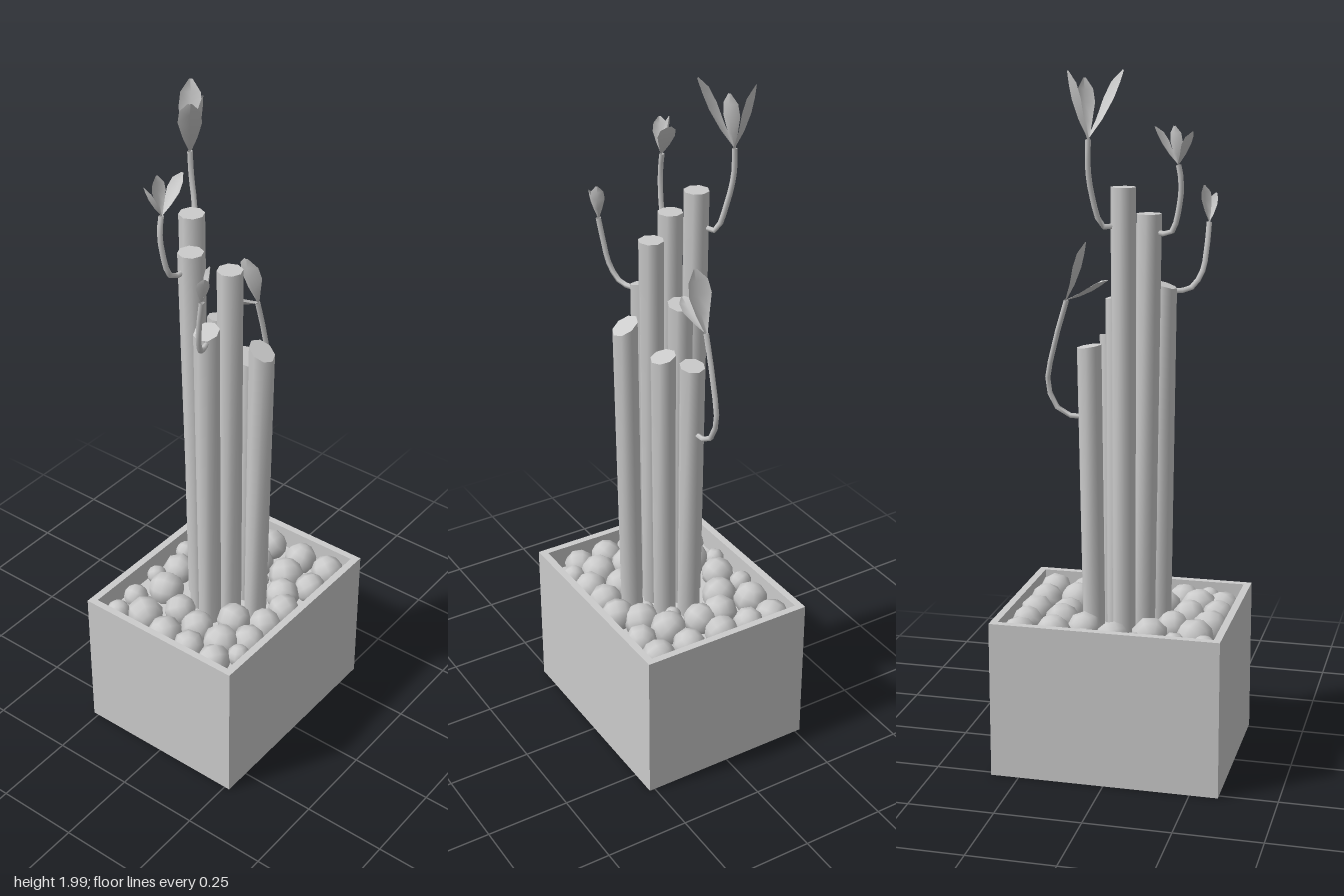
import * as THREE from 'three';

const grey = new THREE.MeshStandardMaterial({ color: 0xcccccc });
const thin = new THREE.MeshStandardMaterial({ color: 0xcccccc, side: THREE.DoubleSide });
const V = (a) => new THREE.Vector3(...a);

function add(parent, name, geometry, material = grey) {
  const mesh = new THREE.Mesh(geometry, material);
  mesh.name = name;
  parent.add(mesh);
  return mesh;
}

// Open square pot: walls extruded from a holed rectangle, plus a floor
function makePlanter() {
  const g = new THREE.Group();
  g.name = 'planter';
  const rect = (T, w, d) => new T([[-w, -d], [w, -d], [w, d], [-w, d]].map(([x, y]) => new THREE.Vector2(x, y)));
  const ring = rect(THREE.Shape, 0.332, 0.267);
  ring.holes.push(rect(THREE.Path, 0.311, 0.245));
  const walls = new THREE.ExtrudeGeometry(ring, { depth: 0.44, bevelEnabled: false });
  add(g, 'planterWalls', walls.rotateX(-Math.PI / 2).translate(0, 0.02, 0));
  add(g, 'planterFloor', new THREE.BoxGeometry(0.664, 0.02, 0.534).translate(0, 0.01, 0));
  add(g, 'soil', new THREE.PlaneGeometry(0.622, 0.49).rotateX(-Math.PI / 2).translate(0, 0.39, 0));
  return g;
}

// Pebbles: x, z, radius in hundredths
const PEBBLES = [
  [-27.4, -19.8, 3.75], [-18.8, -20, 3.75], [-7.4, -21.2, 3], [-0.6, -17.9, 5], [7.2, -21.2, 3.4],
  [16.5, -18.6, 5.2], [26.2, -19.7, 5], [-23.5, -12.5, 5.5], [-10.8, -14.6, 5.4], [9, -12.3, 5.2],
  [16.9, -7.5, 5.2], [26.2, -11.4, 4.6], [-26, -2.7, 5.2], [-15.6, -5.4, 4.8], [26, -2.1, 5],
  [17, -0.5, 5], [-26.5, 6.6, 4.8], [-18.7, 3.6, 5], [10.8, 5.2, 2.5], [26.2, 9.1, 5],
  [16.7, 10.4, 5.4], [-26.5, 16, 4.8], [-19.7, 13.2, 5.5], [-9.7, 10.4, 5.2], [4, 10, 2.1],
  [8.8, 14.8, 5.2], [-21.3, 21, 3.4], [-14, 19.1, 5], [-5.6, 18.8, 5], [3.1, 19.5, 4.9],
  [16.7, 19.5, 4.8], [26.2, 19.3, 5],
];

function makePebbles() {
  const g = new THREE.Group();
  g.name = 'pebbles';
  const ball = new THREE.SphereGeometry(1, 8, 6);
  PEBBLES.forEach(([x, z, r], i) => {
    const m = add(g, 'pebble', ball);
    m.scale.setScalar(r / 100);
    m.position.set(x / 100, 0.414 + (i % 3) * 0.003, z / 100);
    m.rotation.set(i * 1.3, i * 2.1, i * 0.7);
  });
  return g;
}

// Eight-sided cane, leaning from base to top, with a slanted cut
function makeCane({ top: [x, y, z], lean: [lx, lz], cut: [cx, cz] }) {
  const y0 = 0.37;
  const geo = new THREE.CylinderGeometry(0.036, 0.033, 1, 8);
  const p = geo.attributes.position;
  for (let i = 0; i < p.count; i++) {
    const t = p.getY(i) + 0.5, px = p.getX(i), pz = p.getZ(i);
    p.setXYZ(i, x + px - lx * (1 - t), y0 + t * (y - y0 + cx * px + cz * pz), z + pz - lz * (1 - t));
  }
  geo.computeVertexNormals();
  return geo;
}

const CANES = [
  { top: [0.012, 1.37, -0.03], lean: [0, 0], cut: [-0.2, 0] },
  { top: [-0.082, 1.605, -0.055], lean: [-0.015, -0.012], cut: [0, 0] },
  { top: [-0.11, 1.4, 0.018], lean: [-0.008, 0], cut: [0.3, 0] },
  { top: [-0.031, 1.56, 0.037], lean: [-0.004, 0], cut: [0, 0] },
  { top: [0.049, 1.245, 0.048], lean: [0, 0.004], cut: [0, -0.25] },
  { top: [-0.013, 1.335, 0.132], lean: [0, 0.012], cut: [0, -0.55] },
  { top: [-0.02, 1.68, -0.1], lean: [0, -0.012], cut: [0, 0] },
  { top: [0.1, 1.222, -0.015], lean: [0.012, 0], cut: [-0.15, 0] },
];

// Leaf folded along its midrib and bowed outward, from base to tip
function makeLeaf(base, tip, half) {
  const dir = tip.clone().sub(base), len = dir.length();
  const side = new THREE.Vector3().crossVectors(dir, new THREE.Vector3(0, 1, 0)).normalize();
  const up = new THREE.Vector3().crossVectors(side, dir).normalize();
  const rows = [[0, 0.12], [0.3, 0.6], [0.6, 1], [0.82, 0.85], [1, 0.15]];
  const pos = [], idx = [];
  rows.forEach(([t, w], r) => {
    for (const s of [-1, 0, 1]) {
      const rise = (s ? 0.45 * w * half : 0) - Math.sin(t * Math.PI) * 0.06 * len;
      const v = base.clone().addScaledVector(dir, t).addScaledVector(side, s * w * half).addScaledVector(up, rise);
      pos.push(v.x, v.y, v.z);
    }
    if (r) for (const c of [0, 1]) {
      const b = r * 3 + c, a = b - 3;
      idx.push(a, a + 1, b, a + 1, b + 1, b);
    }
  });
  const geo = new THREE.BufferGeometry();
  geo.setAttribute('position', new THREE.Float32BufferAttribute(pos, 3));
  geo.setIndex(idx);
  geo.computeVertexNormals();
  return geo;
}

// Sprouts: stem path and leaf tips [x, y, z, half width]
const SPROUTS = [
  {
    stem: [[0.0, 1.575, -0.115], [0.03, 1.575, -0.13], [0.055, 1.66, -0.15], [0.062, 1.74, -0.165], [0.06, 1.81, -0.167]],
    tips: [[-0.022, 1.99, -0.1, 0.032], [0.108, 1.99, -0.2, 0.032], [0.078, 1.97, -0.135, 0.025]],
  },
  {
    stem: [[-0.1, 1.555, -0.06], [-0.145, 1.555, -0.07], [-0.172, 1.64, -0.077], [-0.175, 1.7, -0.08], [-0.168, 1.74, -0.08]],
    tips: [[-0.098, 1.84, -0.064, 0.025], [-0.212, 1.83, -0.1, 0.022], [-0.16, 1.845, -0.1, 0.02]],
  },
  {
    stem: [[-0.13, 1.38, 0.035], [-0.175, 1.385, 0.052], [-0.207, 1.43, 0.068], [-0.218, 1.5, 0.08], [-0.222, 1.57, 0.092]],
    tips: [[-0.203, 1.67, 0.106, 0.02], [-0.238, 1.65, 0.113, 0.018]],
  },
  {
    stem: [[0.11, 1.015, -0.016], [0.18, 1.025, -0.016], [0.222, 1.1, -0.016], [0.203, 1.22, -0.016], [0.166, 1.35, -0.016]],
    tips: [[0.045, 1.41, -0.016, 0.03], [0.107, 1.515, -0.016, 0.036]],
  },
];

function makeSprout({ stem, tips }) {
  const g = new THREE.Group();
  g.name = 'sprout';
  const path = new THREE.CatmullRomCurve3(stem.map(V));
  add(g, 'stem', new THREE.TubeGeometry(path, 9, 0.008, 5), thin);
  const base = V(stem.at(-1));
  for (const [x, y, z, half] of tips) add(g, 'leaf', makeLeaf(base, V([x, y, z]), half), thin);
  return g;
}

export function createModel() {
  const model = new THREE.Group();
  model.name = 'pottedCanePlant';
  model.add(makePlanter(), makePebbles());
  const canes = new THREE.Group();
  canes.name = 'canes';
  CANES.forEach((c) => add(canes, 'cane', makeCane(c)));
  model.add(canes);
  SPROUTS.forEach((s) => model.add(makeSprout(s)));
  return model;
}
